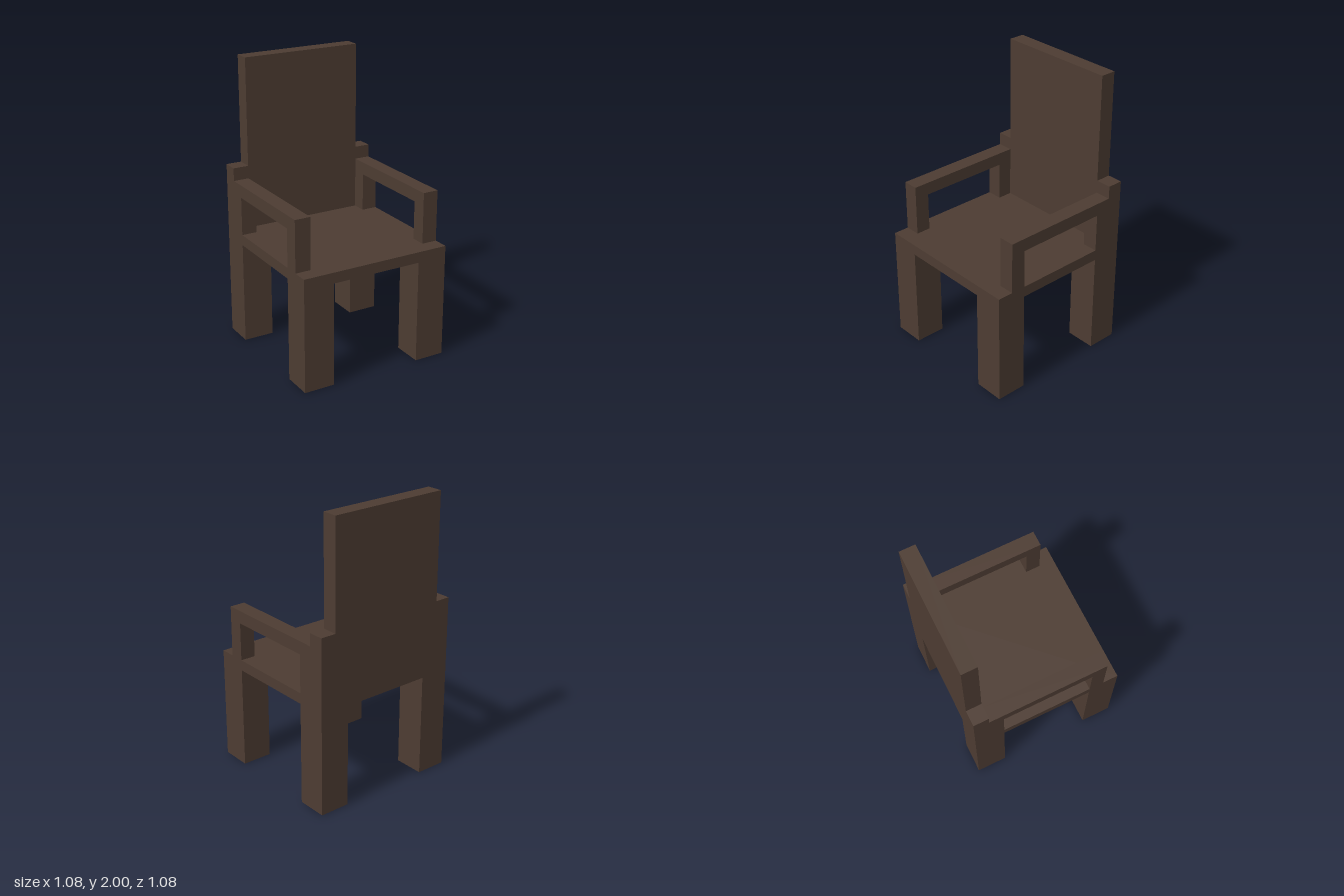
import * as THREE from 'three';

const HALF = 0.54;      // half width and depth of the chair
const THICK = 0.11;     // thickness of the back and arms
const LEG = 0.215;      // leg width
const SEAT_BOTTOM = 0.725;
const SEAT_TOP = 0.8;

export function createModel() {
  const chair = new THREE.Group();
  chair.name = 'armchair';
  const wood = new THREE.MeshStandardMaterial({ color: 0x4d3c32, flatShading: true });

  const add = (name, geometry, x, y, z) => {
    const mesh = new THREE.Mesh(geometry, wood);
    mesh.name = name;
    mesh.position.set(x, y, z);
    chair.add(mesh);
  };
  const extrude = (points) => new THREE.ExtrudeGeometry(
    new THREE.Shape(points.map(([x, y]) => new THREE.Vector2(x, y))),
    { depth: THICK, bevelEnabled: false });

  // Square seat slab
  add('seat', new THREE.BoxGeometry(2 * HALF, SEAT_TOP - SEAT_BOTTOM, 2 * HALF),
    0, (SEAT_TOP + SEAT_BOTTOM) / 2, 0);

  // Tall back with a shoulder on each side
  const inner = HALF - THICK;
  add('backrest', extrude([
    [-HALF, SEAT_TOP], [HALF, SEAT_TOP], [HALF, 1.25], [inner, 1.25],
    [inner, 2], [-inner, 2], [-inner, 1.25], [-HALF, 1.25],
  ]), 0, 0, -HALF);

  // Arm profile: front post, rail and rear post, drawn along z
  const armGeometry = extrude([
    [-inner, SEAT_TOP], [-0.325, SEAT_TOP], [-0.325, 1.07], [0.325, 1.07],
    [0.325, SEAT_TOP], [inner, SEAT_TOP], [inner, 1.16], [-inner, 1.16],
  ]).rotateY(-Math.PI / 2).translate(THICK / 2, 0, 0);

  // Legs and arms on both sides
  const legGeometry = new THREE.BoxGeometry(LEG, SEAT_BOTTOM, LEG);
  const legOffset = HALF - LEG / 2;
  for (const [side, sx] of [['left', 1], ['right', -1]]) {
    add(`${side}Arm`, armGeometry, sx * (HALF - THICK / 2), 0, 0);
    for (const [end, sz] of [['Front', 1], ['Back', -1]]) {
      add(`${side}${end}Leg`, legGeometry, sx * legOffset, SEAT_BOTTOM / 2, sz * legOffset);
    }
  }
  return chair;
}
